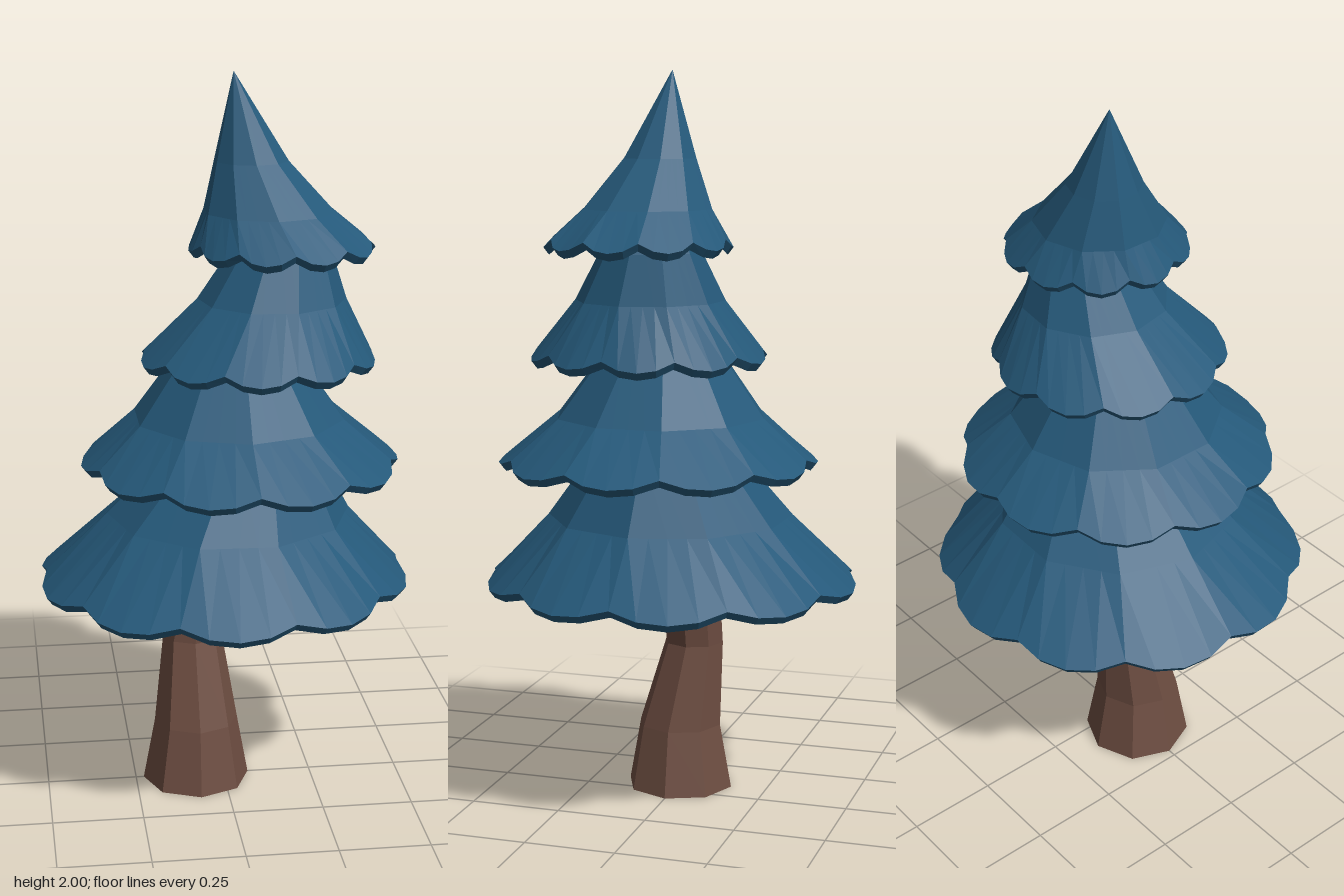
import * as THREE from 'three';

const needles = new THREE.MeshStandardMaterial({ color: 0x25597a, flatShading: true });
needles.name = 'blue needles';
const bark = new THREE.MeshStandardMaterial({ color: 0x6e4e42, flatShading: true });
bark.name = 'brown bark';

const SCALLOPS = 10;
const STEPS = 4; // points along each scallop
const BULGE = [0, 0.75, 1, 0.75];

// Skin a list of closed rings, ordered from top to bottom on the outside
function loft(rings) {
  const n = rings[0].length;
  const index = [];
  for (let i = 0; i < rings.length - 1; i++) {
    for (let j = 0; j < n; j++) {
      const k = (j + 1) % n;
      const a = i * n + j, b = i * n + k, c = a + n, d = b + n;
      index.push(a, b, c, b, d, c);
    }
  }
  const geometry = new THREE.BufferGeometry();
  geometry.setAttribute('position', new THREE.Float32BufferAttribute(rings.flat(2), 3));
  geometry.setIndex(index);
  geometry.computeVertexNormals();
  return geometry;
}

// Ring of a tier: a ten-sided polygon, or a scalloped edge at the rim
function tierRing([y, cx, cz, r], phase, rim) {
  const points = [];
  for (let s = 0; s < SCALLOPS; s++) {
    for (let k = 0; k < STEPS; k++) {
      const step = (Math.PI * 2) / SCALLOPS;
      const angle = phase + (s + k / STEPS) * step;
      const f = BULGE[k];
      const flat = Math.cos(step / 2) / Math.cos((k / STEPS - 0.5) * step);
      const radius = r * (rim ? 0.95 + 0.05 * f : flat);
      const lift = rim ? 0.025 * (1 - f) : 0;
      points.push([cx + Math.cos(angle) * radius, y + lift, cz + Math.sin(angle) * radius]);
    }
  }
  return points;
}

// Hollow tier: outer skin, thick scalloped lip, then inner skin
function makeTier(name, profile, phaseDegrees) {
  const phase = THREE.MathUtils.degToRad(phaseDegrees);
  const last = profile.length - 1;
  const outer = profile.map((p, i) =>
    tierRing(i === last ? [p[0] + 0.015, p[1], p[2], p[3]] : p, phase, i === last));
  const inner = profile.map(([y, cx, cz, r], i) =>
    tierRing([i === last ? y - 0.005 : y - 0.02, cx, cz, Math.max(0, r - 0.015)], phase, i === last));
  const mesh = new THREE.Mesh(loft([inner[0], ...outer, ...inner.reverse()]), needles);
  mesh.name = name;
  return mesh;
}

// Crooked eight-sided trunk that runs up inside the tiers
function makeTrunk() {
  const sections = [ // y, centre x, centre z, radius
    [1.66, 0.155, 0.0, 0],
    [1.65, 0.155, 0.0, 0.05],
    [1.36, 0.08, 0.01, 0.065],
    [1.05, 0.04, 0.0, 0.078],
    [0.62, -0.045, -0.04, 0.082],
    [0.42, -0.082, -0.04, 0.083],
    [0.18, -0.077, 0.0, 0.117],
    [0, -0.078, 0, 0.15],
    [0, -0.078, 0, 0],
  ];
  const rings = sections.map(([y, cx, cz, r]) =>
    Array.from({ length: 8 }, (_, j) => {
      const angle = (j * Math.PI) / 4;
      return [cx + Math.cos(angle) * r, y, cz + Math.sin(angle) * r];
    }));
  const mesh = new THREE.Mesh(loft(rings), bark);
  mesh.name = 'trunk';
  return mesh;
}

export function createModel() {
  const tree = new THREE.Group();
  tree.name = 'pineTree';
  tree.add(makeTrunk());

  // Tier profiles from top to rim: y, centre x, centre z, radius
  tree.add(makeTier('bottomTier', [
    [1.07, 0.04, 0, 0.11],
    [0.93, 0.045, 0, 0.235],
    [0.8, 0.015, 0, 0.335],
    [0.6, 0, 0, 0.515],
  ], 2));
  tree.add(makeTier('lowerMiddleTier', [
    [1.36, 0.07, 0.01, 0.095],
    [1.23, 0.04, 0.015, 0.18],
    [1.08, 0.04, 0.02, 0.29],
    [0.935, 0.045, 0.025, 0.435],
  ], -90));
  tree.add(makeTier('upperMiddleTier', [
    [1.66, 0.155, 0.005, 0.075],
    [1.53, 0.155, 0.01, 0.135],
    [1.4, 0.13, 0.02, 0.2],
    [1.225, 0.09, 0.035, 0.32],
  ], -102));
  tree.add(makeTier('topTier', [
    [2, 0.03, -0.01, 0],
    [1.77, 0.075, 0.01, 0.1],
    [1.64, 0.12, 0.03, 0.177],
    [1.525, 0.153, 0.045, 0.25],
  ], -90));
  return tree;
}
